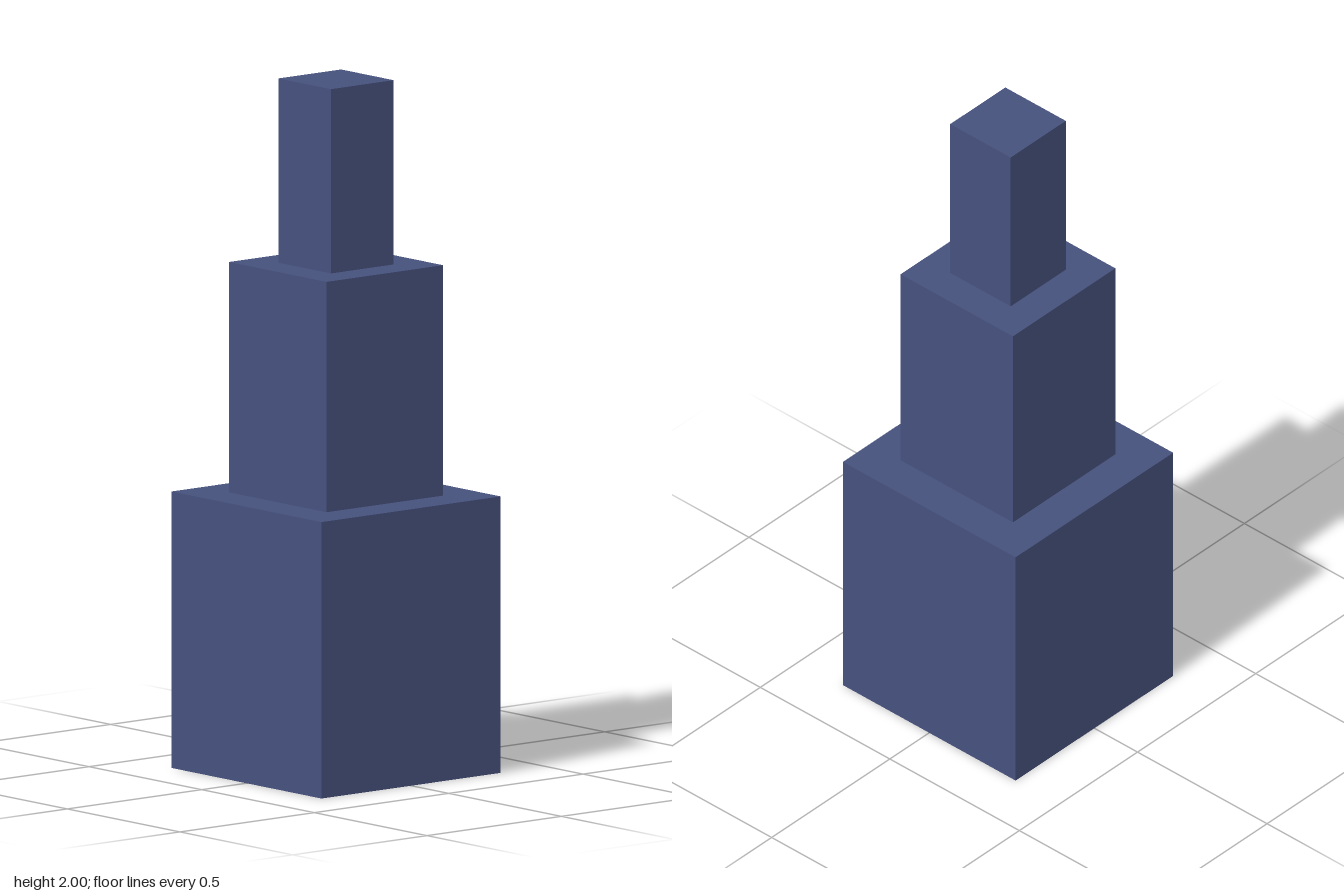
import * as THREE from 'three';

const slateBlue = new THREE.MeshStandardMaterial({ color: 0x46517d, side: THREE.DoubleSide, flatShading: true });
slateBlue.name = 'slateBlue';

// Square tier: four walls plus the flat ledge running in to the next tier, open below
function makeTier({ name, half, bottom, top, innerHalf }) {
  const profile = [[half, bottom], [half, top], [innerHalf, top]]
    .map(([r, y]) => new THREE.Vector2(r * Math.SQRT2, y));
  const mesh = new THREE.Mesh(new THREE.LatheGeometry(profile, 4, Math.PI / 4), slateBlue);
  mesh.name = name;
  return mesh;
}

export function createModel() {
  const group = new THREE.Group();
  group.name = 'steppedTower';

  // One hollow shell, stepping inwards as it rises; the last tier is capped
  const tiers = [
    { name: 'baseTier', half: 0.3333, bottom: 0, top: 0.8, innerHalf: 0.2167 },
    { name: 'middleTier', half: 0.2167, bottom: 0.8, top: 1.4667, innerHalf: 0.1167 },
    { name: 'topTier', half: 0.1167, bottom: 1.4667, top: 2, innerHalf: 0 },
  ];
  for (const tier of tiers) group.add(makeTier(tier));
  return group;
}
